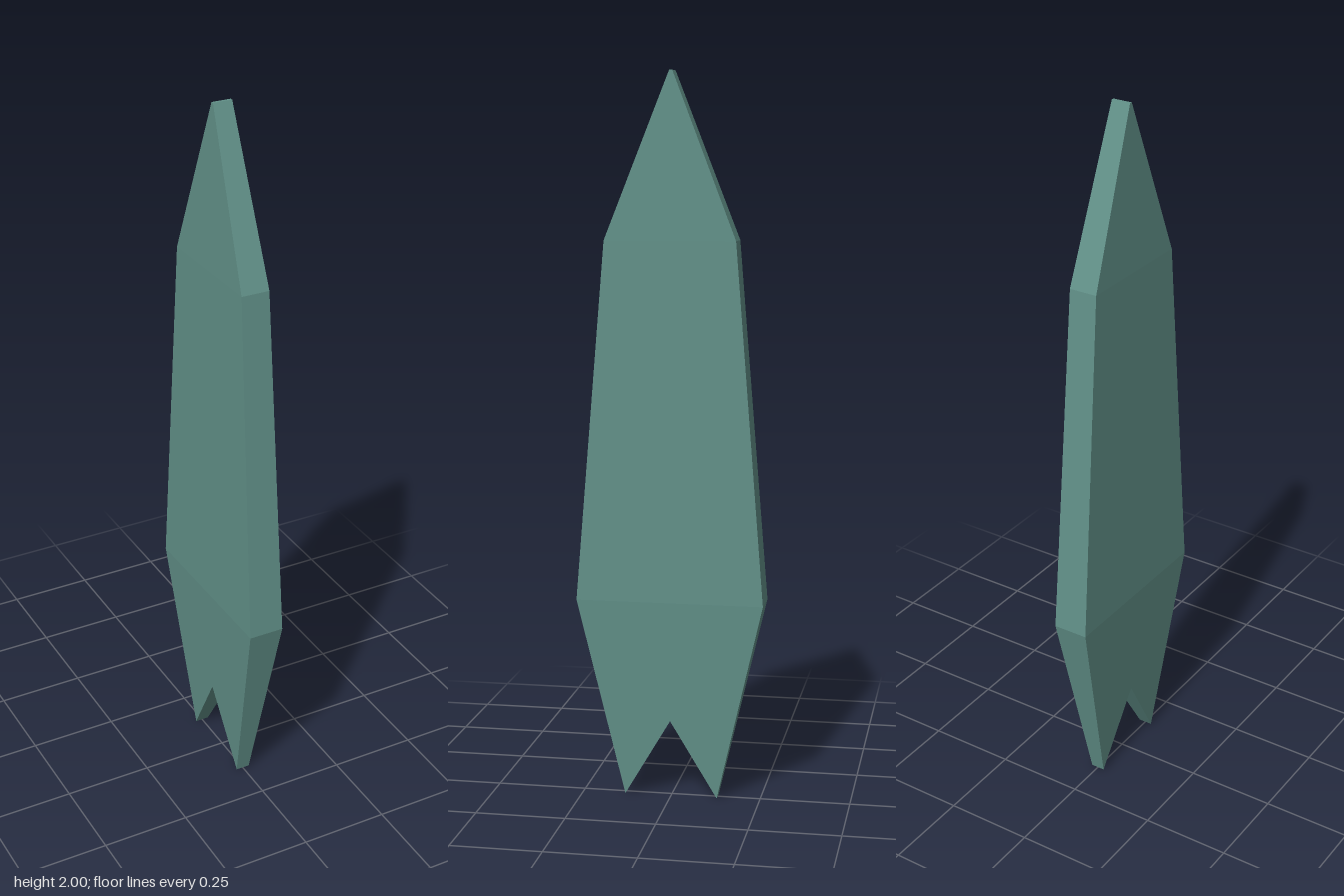
import * as THREE from 'three';

// Outline seen from +x, counter-clockwise: [z, y, half thickness]
const outline = [
  [-0.005, 2, 0.027], [0.003, 2, 0.027], // tip
  [0.18, 1.55, 0.04], // shoulder
  [0.26, 0.56, 0.05], // widest point
  [0.13, 0, 0.02], // tail point
  [0, 0.22, 0.032], // notch
  [-0.13, 0, 0.02],
  [-0.26, 0.56, 0.05],
  [-0.18, 1.55, 0.04],
];

// Horizontal bands of the broad faces, as outline indices
const bands = [
  [0, 1, 2], [0, 2, 8], [2, 3, 7], [2, 7, 8],
  [3, 4, 5], [3, 5, 7], [5, 6, 7],
];

function leafGeometry() {
  const pos = [];
  const put = (i, side) => {
    const [z, y, t] = outline[i];
    pos.push(side * t, y, z);
  };
  // Two broad faces, mirrored
  for (const [a, b, c] of bands) {
    [a, b, c].forEach((i) => put(i, 1));
    [c, b, a].forEach((i) => put(i, -1));
  }
  // Rim joining them
  outline.forEach((_, i) => {
    const j = (i + 1) % outline.length;
    put(i, 1); put(i, -1); put(j, -1);
    put(i, 1); put(j, -1); put(j, 1);
  });
  const geometry = new THREE.BufferGeometry();
  geometry.setAttribute('position', new THREE.Float32BufferAttribute(pos, 3));
  geometry.computeVertexNormals();
  return geometry;
}

export function createModel() {
  const group = new THREE.Group();
  const material = new THREE.MeshStandardMaterial({ color: 0x629189, flatShading: true });
  const blade = new THREE.Mesh(leafGeometry(), material);
  blade.name = 'blade';
  group.add(blade);
  return group;
}
